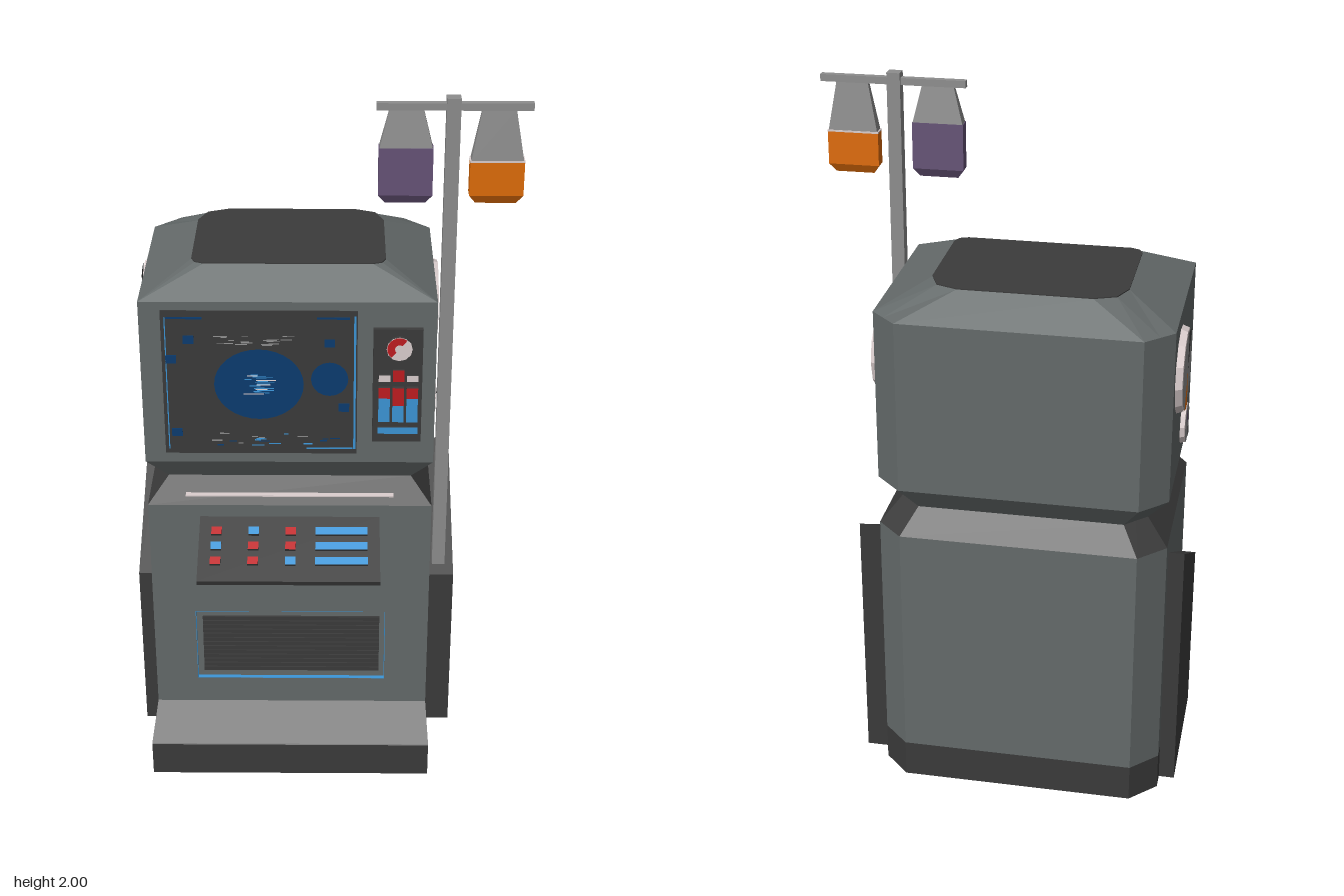
import * as THREE from 'three';

const mat = (name, color, side = THREE.FrontSide) =>
  Object.assign(new THREE.MeshStandardMaterial({ color, side }), { name });
const M = {
  body: mat('slate body', 0x646a6a, THREE.DoubleSide),
  dark: mat('charcoal', 0x3b3b3b, THREE.DoubleSide),
  grey: mat('light grey', 0x8e8e8e),
  pale: mat('pale pink white', 0xdccfcf),
  blue: mat('bright blue', 0x3c96d8),
  navy: mat('deep blue', 0x0a3c70),
  red: mat('red', 0xc01c20),
  orange: mat('orange', 0xdf6c06),
  purple: mat('purple', 0x665377),
};

// Rectangle outline with cut (or rounded) front corners f and back corners b
function ring(x0, x1, z0, z1, f = 0, b = 0, round = false) {
  const corner = (cx, cz, sx, sz, c, zFirst) => {
    const p = [cx, cz - sz * c], q = [cx - sx * c, cz], k = round ? 0.29 : 0.5;
    const m = [cx - sx * c * k, cz - sz * c * k];
    return zFirst ? [p, m, q] : [q, m, p];
  };
  return [
    ...corner(x0, z1, -1, 1, f, true), ...corner(x1, z1, 1, 1, f, false),
    ...corner(x1, z0, 1, -1, b, true), ...corner(x0, z0, -1, -1, b, false),
  ];
}

// Faceted solid through rings listed from bottom to top as [y, ring]
function loft(name, material, levels, capped = true) {
  const pos = [];
  const tri = (...p) => {
    const [a, b, c] = p.map(v => new THREE.Vector3(...v));
    if (b.clone().sub(a).cross(c.clone().sub(a)).length() > 1e-9) p.forEach(v => pos.push(...v));
  };
  const pts = levels.map(([y, r]) => r.map(([x, z]) => [x, y, z]));
  const n = pts[0].length;
  for (let l = 0; l + 1 < pts.length; l++) {
    for (let i = 0; i < n; i++) {
      const j = (i + 1) % n, lo = pts[l], hi = pts[l + 1];
      tri(lo[i], lo[j], hi[j]);
      tri(lo[i], hi[j], hi[i]);
    }
  }
  const bottom = pts[0], top = pts[pts.length - 1];
  for (let i = 1; capped && i + 1 < n; i++) {
    tri(top[0], top[i], top[i + 1]);
    tri(bottom[0], bottom[i + 1], bottom[i]);
  }
  const g = new THREE.BufferGeometry();
  g.setAttribute('position', new THREE.Float32BufferAttribute(pos, 3));
  g.computeVertexNormals();
  return named(name, new THREE.Mesh(g, material));
}

function named(name, o) { o.name = name; return o; }

function box(name, material, x0, x1, y0, y1, z0, z1) {
  const m = new THREE.Mesh(new THREE.BoxGeometry(x1 - x0, y1 - y0, z1 - z0), material);
  m.position.set((x0 + x1) / 2, (y0 + y1) / 2, (z0 + z1) / 2);
  return named(name, m);
}

// Charcoal block materials with one coloured face (2 = top, 4 = front)
const faced = (m, face) => Array.from({ length: 6 }, (_, i) => (i === face ? m : M.dark));

function disc(name, material, r, x, y, z, sides = 24, start = 0, len = Math.PI * 2) {
  const m = new THREE.Mesh(new THREE.CircleGeometry(r, sides, start, len), material);
  m.position.set(x, y, z);
  return named(name, m);
}

// Side profile [z, y] extruded across x
function profile(name, material, pts, x0, x1) {
  const s = new THREE.Shape(pts.map(([z, y]) => new THREE.Vector2(-z, y)));
  const m = new THREE.Mesh(new THREE.ExtrudeGeometry(s, { depth: x1 - x0, bevelEnabled: false }), material);
  m.rotation.y = Math.PI / 2;
  m.position.x = x0;
  return named(name, m);
}

// Round side dial with coloured wedges
function dial(name, r, depth, wedge) {
  const g = named(name, new THREE.Group());
  const rim = new THREE.Mesh(new THREE.CylinderGeometry(r * 0.94, r, depth, 12).toNonIndexed(), M.pale);
  rim.geometry.computeVertexNormals();
  rim.rotation.x = Math.PI / 2;
  rim.position.z = depth / 2;
  g.add(named('dialRim', rim),
    disc('dialFace', M.grey, r * 0.93, 0, 0, depth + 0.002, 12),
    disc('upperWedge', wedge, r * 0.92, 0, 0, depth + 0.004, 3, 1.52, 0.6),
    disc('lowerWedge', M.dark, r * 0.92, 0, 0, depth + 0.004, 3, 4.58, 0.6));
  return g;
}

// Hanging fluid bag, filled up to the given level
function bag(name, fluid, cx, level) {
  const g = named(name, new THREE.Group());
  const r = (w, d) => ring(cx - w, cx + w, 0.091 - d, 0.091 + d);
  g.add(loft('fluid', fluid, [[1.705, r(0.055, 0.006)], [1.73, r(0.073, 0.02)], [level, r(0.073, 0.02)]]),
    loft('emptyTop', M.grey, [[level, r(0.071, 0.019)], [1.968, r(0.045, 0.007)]]));
  return g;
}

export function createModel() {
  const root = named('medicalTerminal', new THREE.Group());
  const full = ring(-0.51, 0.31, -0.41, 0.2, 0, 0.075);
  const inset = ring(-0.51, 0.31, -0.41, 0.186, 0, 0.075);
  const waist = ring(-0.45, 0.25, -0.36, 0.155, 0, 0.06);
  const crown = ring(-0.37, 0.17, -0.305, 0.095, 0.035, 0.085, true);
  const foot = ring(-0.51, 0.31, 0.2, 0.41);

  // Cabinet stack and foot, hollow and open underneath
  root.add(
    loft('plinth', M.dark, [[0, full], [0.11, full]], false),
    loft('lowerCabinet', M.body, [[0.11, inset], [0.81, inset]], false),
    loft('neck', M.dark, [[0.81, full], [0.885, waist]]),
    loft('head', M.body, [[0.885, waist], [0.955, full], [1.455, full], [1.523, crown]]),
    loft('topCap', M.dark, [[1.523, crown], [1.526, crown]]),
    box('innerSideLining', M.grey, -0.508, -0.504, 0.11, 0.8, -0.33, 0.18),
    box('innerFrontLining', M.dark, -0.5, 0.3, 0.11, 0.8, 0.18, 0.184),
    box('neckLight', M.pale, -0.4, 0.2, 0.838, 0.8415, 0.168, 0.199),
    loft('footStep', M.dark, [[0, foot], [0.106, foot]], false),
    box('footCeiling', M.dark, -0.509, 0.309, 0.1, 0.105, 0.201, 0.409),
    box('footTread', M.grey, -0.51, 0.31, 0.106, 0.11, 0.2, 0.41));

  // Cabinet front with a recessed vent
  const front = new THREE.Shape([[-0.51, 0.11], [0.31, 0.11], [0.31, 0.81], [-0.51, 0.81]]
    .map(p => new THREE.Vector2(...p)));
  front.holes.push(new THREE.Path([[-0.385, 0.195], [-0.385, 0.44], [0.182, 0.44], [0.182, 0.195]]
    .map(p => new THREE.Vector2(...p))));
  const frontPanel = new THREE.Mesh(
    new THREE.ExtrudeGeometry(front, { depth: 0.014, bevelEnabled: false }), M.body);
  frontPanel.position.z = 0.186;
  root.add(named('frontPanel', frontPanel));
  for (const y of [0.195, 0.44])
    root.add(box('ventEdge', M.blue, -0.385, 0.182, y - 0.0015, y + 0.0015, 0.187, 0.1997));
  for (const x of [-0.385, 0.182])
    root.add(box('ventEdge', M.blue, x - 0.0015, x + 0.0015, 0.195, 0.44, 0.187, 0.1997));
  for (let i = 0; i < 13; i++)
    root.add(box('ventSlat', M.dark, -0.365, 0.165, 0.219 + i * 0.0153, 0.2313 + i * 0.0153, 0.186, 0.193));

  // Sloped side panels
  const side = [[0.14, 0], [-0.285, 0], [-0.285, 0.768], [0.14, 0.535]];
  root.add(profile('leftSidePanel', M.dark, side, 0.31, 0.385),
    profile('rightSidePanel', M.dark, side, -0.555, -0.51));

  // Side dials
  for (const s of [1, -1]) {
    const big = dial('largeDial', 0.122, 0.019, M.orange);
    const small = dial('smallDial', 0.062, 0.013, M.purple);
    big.position.set(-0.1 + s * 0.41, 1.29, -0.19);
    small.position.set(-0.1 + s * 0.41, 1.057, -0.035);
    for (const d of [big, small]) {
      d.rotation.order = 'YXZ';
      d.rotation.y = s * Math.PI / 2;
      d.rotation.z = (s > 0 ? 0 : 2.7) + (d === small ? 3.94 : 0);
      root.add(d);
    }
  }

  // Screen with map graphics
  const screen = named('screen', new THREE.Group());
  screen.add(box('screenPlate', M.dark, -0.45, 0.092, 0.985, 1.43, 0.198, 0.203));
  const mark = (m, x, y, w, h, z = 0.2035) => screen.add(box('screenMark', m, x, x + w, y, y + h, z - 0.001, z + 0.001));
  const globe = disc('screenGlobe', M.navy, 0.125, -0.182, 1.205, 0.2046, 32);
  globe.scale.y = 0.87;
  screen.add(globe, disc('screenMoon', M.navy, 0.052, 0.015, 1.222, 0.2046, 20));
  mark(M.blue, 0.082, 1.0, 0.006, 0.415);
  mark(M.blue, -0.05, 1.0, 0.13, 0.004);
  mark(M.blue, -0.44, 1.0, 0.003, 0.41);
  mark(M.navy, -0.435, 1.405, 0.1, 0.006);
  mark(M.navy, -0.02, 1.405, 0.09, 0.006);
  let seed = 7;
  const rnd = () => (seed = (seed * 16807) % 2147483647) / 2147483647;
  for (let i = 0; i < 18; i++) {
    mark(i % 4 ? M.blue : M.pale, -0.225 + rnd() * 0.04, 1.175 + i * 0.0035, 0.02 + rnd() * 0.04, 0.002, 0.205);
    mark(M.grey, -0.31 + rnd() * 0.22, 1.32 + rnd() * 0.035, 0.015 + rnd() * 0.025, 0.002);
    mark([M.navy, M.grey, M.blue][i % 3], -0.43 + rnd() * 0.46, 1.01 + rnd() * 0.04, 0.012 + rnd() * 0.025, 0.003);
  }
  for (const [x, y] of [[-0.44, 1.27], [-0.39, 1.33], [-0.43, 1.04], [0, 1.32], [0.04, 1.12]])
    mark(M.navy, x, y, 0.03, 0.025);
  root.add(screen);

  // Status panel beside the screen
  const panel = named('statusPanel', new THREE.Group());
  panel.add(box('panelPlate', M.dark, 0.135, 0.272, 1.03, 1.38, 0.2, 0.214),
    box('blueBar', faced(M.blue, 4), 0.15, 0.262, 1.058, 1.078, 0.214, 0.219));
  const knob = new THREE.Mesh(new THREE.CylinderGeometry(0.036, 0.036, 0.01, 12), [M.dark, M.pale, M.dark]);
  knob.rotation.x = Math.PI / 2;
  knob.position.set(0.207, 1.325, 0.219);
  panel.add(named('knob', knob), disc('knobRedWedge', M.red, 0.034, 0.207, 1.325, 0.2245, 10, 0.9, 3.1),
    disc('knobCentre', M.pale, 0.013, 0.207, 1.325, 0.225, 12));
  [0.167, 0.206, 0.245].forEach((x, i) => {
    const mid = i === 1;
    panel.add(box('slider', faced(M.red, 4), x - 0.016, x + 0.016, mid ? 1.15 : 1.172, 1.205, 0.214, 0.224),
      box('sliderCap', faced(mid ? M.red : M.pale, 4), x - 0.016, x + 0.016, 1.222, mid ? 1.258 : 1.242, 0.214, 0.22),
      box('level', faced(M.blue, 4), x - 0.016, x + 0.016, 1.095, mid ? 1.148 : 1.17, 0.214, 0.219));
  });
  root.add(panel);

  // Sloped console with buttons
  root.add(profile('console', M.dark, [[0.2, 0.72], [0.2, 0.772], [0.405, 0.682], [0.4, 0.667]], -0.36, 0.16));
  const onConsole = (name, m, x, z, w) => {
    const b = box(name, faced(m, 2), x - w / 2, x + w / 2, 0, 0.016, -0.013, 0.013);
    b.position.set(x, 0.772 - (z - 0.2) * 0.44, z);
    b.rotation.x = Math.atan(0.44);
    root.add(b);
  };
  ['rbr', 'brr', 'rrb'].forEach((row, i) => {
    const z = 0.25 + i * 0.047;
    [...row].forEach((c, j) => onConsole('button', c === 'r' ? M.red : M.blue, -0.31 + j * 0.107, z, 0.03));
    onConsole('consoleBar', M.blue, 0.05, z, 0.15);
  });

  // Drip stand
  root.add(box('standPole', M.grey, 0.322, 0.36, 0.55, 2, 0.073, 0.109),
    box('standCrossbar', M.grey, 0.137, 0.553, 1.965, 1.985, 0.081, 0.101),
    bag('purpleBag', M.purple, 0.217, 1.863), bag('orangeBag', M.orange, 0.462, 1.825),
    box('orangeFluidLine', M.pale, 0.3885, 0.5355, 1.824, 1.829, 0.0705, 0.1115));
  return root;
}
